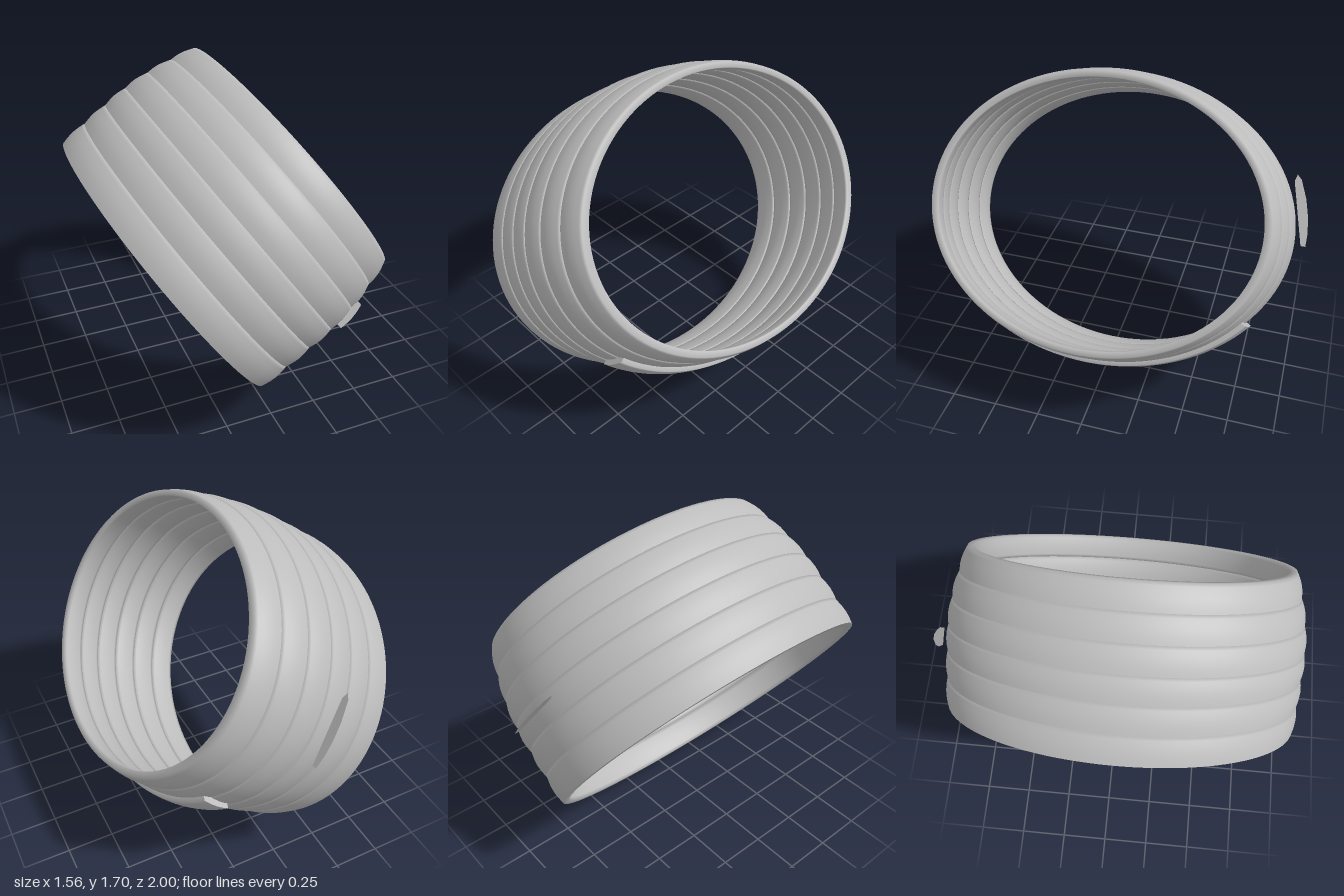
import * as THREE from 'three';

const SQUASH = 0.807; // the rings are oval: shorter across than deep
const metal = new THREE.MeshStandardMaterial({ color: 0xbcbcbc, side: THREE.DoubleSide });
metal.name = 'grey metal';

// Closed band section (radius, height) with softly bulging inner and outer faces
function bandSection(y0, y1, r0, r1, thickness, bulge) {
  const at = (t, offset) => new THREE.Vector2(
    THREE.MathUtils.lerp(r0, r1, t) + offset, THREE.MathUtils.lerp(y0, y1, t));
  const steps = [0, 0.12, 0.3, 0.5, 0.7, 0.88, 1];
  const arc = t => bulge * Math.sin(Math.PI * t);
  const outer = steps.map(t => at(t, arc(t)));
  const inner = steps.map(t => at(1 - t, -thickness - arc(t)));
  return [...outer, ...inner, outer[0].clone()];
}

function addMesh(parent, geometry, name) {
  const mesh = new THREE.Mesh(geometry, metal);
  mesh.name = name;
  parent.add(mesh);
}

export function createModel() {
  const model = new THREE.Group();
  model.name = 'coiledBand';

  // Stack of six oval rings, narrowing towards the upper opening
  const heights = [0.082, 0.237, 0.386, 0.528, 0.673, 0.815, 0.953];
  const radii = [0.953, 0.958, 0.961, 0.961, 0.944, 0.91, 0.87];
  for (let i = 0; i < 6; i++) {
    const section = bandSection(heights[i], heights[i + 1], radii[i], radii[i + 1], 0.036, 0.011);
    const ring = new THREE.LatheGeometry(section, 112);
    ring.scale(SQUASH, 1, 1);
    addMesh(model, ring, `ring${i + 1}`);
  }

  // Raised overlapping strap around the lower side, closed at both ends
  const strapSection = bandSection(0.567, 0.718, 0.992, 0.968, 0.04, 0.009);
  const startAngle = 0.59;
  const endAngle = Math.PI - startAngle;
  const strap = new THREE.LatheGeometry(strapSection, 56, startAngle, endAngle - startAngle);
  strap.scale(SQUASH, 1, 1);
  addMesh(model, strap, 'overlapStrap');
  for (const angle of [startAngle, endAngle]) {
    const cap = new THREE.ShapeGeometry(new THREE.Shape(strapSection));
    cap.rotateY(angle - Math.PI / 2);
    cap.scale(SQUASH, 1, 1);
    addMesh(model, cap, 'strapEnd');
  }

  // Thin curved fin standing off the back
  const fin = new THREE.ShapeGeometry(new THREE.Shape([
    [-0.368, -0.93], [-0.343, -0.955], [-0.245, -0.995], [-0.148, -1.02],
    [-0.063, -1.03], [0, -1.03], [0, -1.005], [-0.331, -0.92],
  ].map(([x, z]) => new THREE.Vector2(x, z))));
  fin.rotateX(Math.PI / 2);
  fin.rotateZ(Math.PI).scale(-1, -1, 1); // keep the outline in place, upper side as front
  fin.translate(0, 0.462, 0);
  addMesh(model, fin, 'backFin');

  // Tilt the stack
  model.rotation.z = -THREE.MathUtils.degToRad(55);
  model.position.set(-0.408, 0.584, 0.03);

  const root = new THREE.Group();
  root.name = 'tiltedBand';
  root.add(model);
  return root;
}
